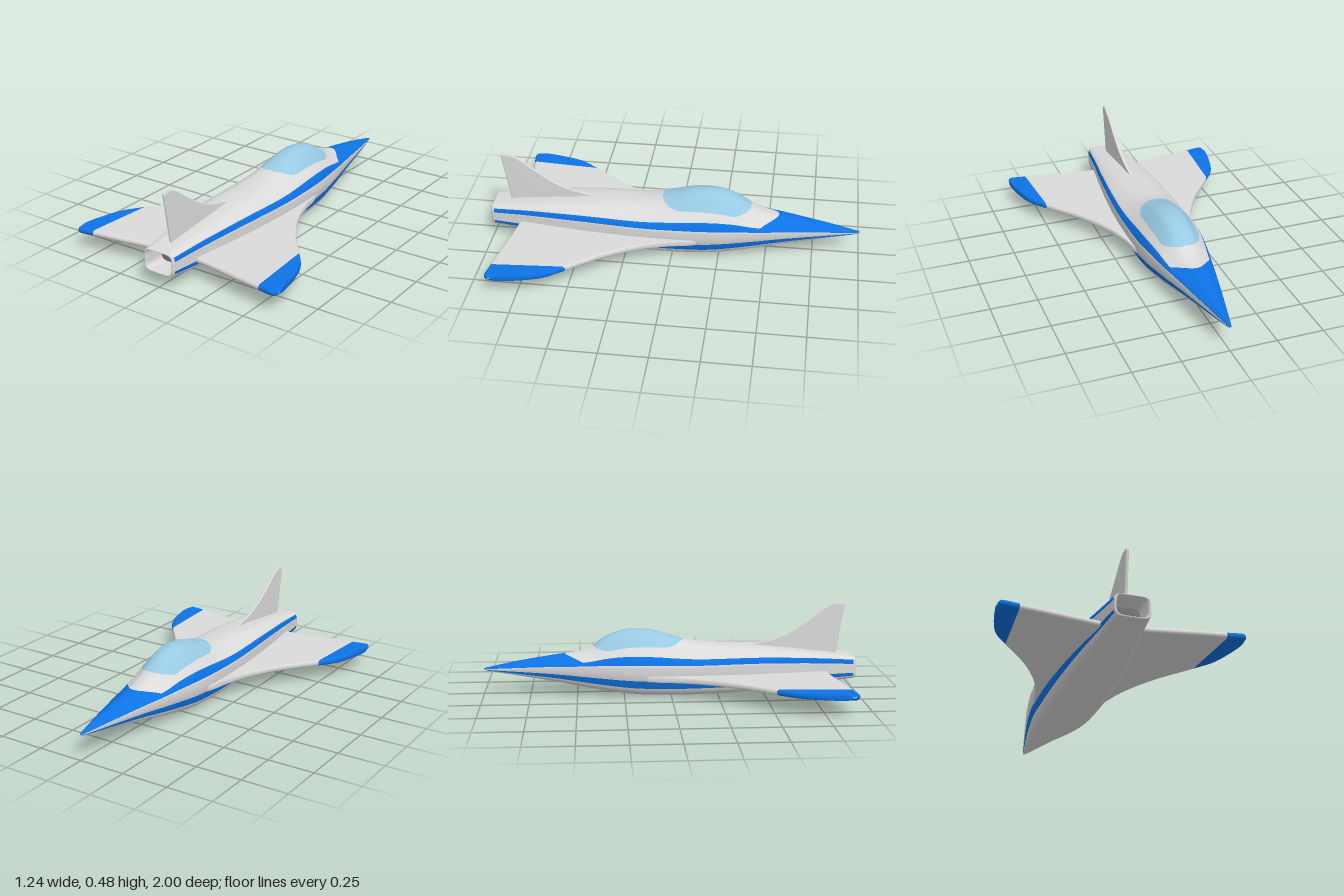
import * as THREE from 'three';

const mat = (name, color) => {
  const m = new THREE.MeshStandardMaterial({ color });
  m.name = name;
  return m;
};

// Smooth curve through [key, value] pairs (cubic Hermite)
function curve(pts) {
  const slope = (i) => {
    const a = pts[Math.max(i - 1, 0)], b = pts[Math.min(i + 1, pts.length - 1)];
    return (b[1] - a[1]) / (b[0] - a[0]);
  };
  return (k) => {
    k = THREE.MathUtils.clamp(k, pts[0][0], pts[pts.length - 1][0]);
    let i = 0;
    while (i < pts.length - 2 && k > pts[i + 1][0]) i++;
    const [k0, v0] = pts[i], [k1, v1] = pts[i + 1], h = k1 - k0, s = (k - k0) / h;
    const s2 = s * s, s3 = s2 * s;
    return (2 * s3 - 3 * s2 + 1) * v0 + (s3 - 2 * s2 + s) * h * slope(i)
      + (3 * s2 - 2 * s3) * v1 + (s3 - s2) * h * slope(i + 1);
  };
}

// Indexed grid of points; du x dv faces outward unless flipped
function gridGeometry(nu, nv, point, flip, normal) {
  const pos = [], nor = [], idx = [];
  for (let i = 0; i <= nu; i++) for (let j = 0; j <= nv; j++) {
    pos.push(...point(i, j));
    if (normal) nor.push(...normal(i, j));
  }
  for (let i = 0; i < nu; i++) for (let j = 0; j < nv; j++) {
    const a = i * (nv + 1) + j, b = a + nv + 1;
    if (flip) idx.push(a, a + 1, b, b, a + 1, b + 1);
    else idx.push(a, b, a + 1, b, b + 1, a + 1);
  }
  const g = new THREE.BufferGeometry();
  g.setAttribute('position', new THREE.Float32BufferAttribute(pos, 3));
  g.setIndex(idx);
  if (normal) g.setAttribute('normal', new THREE.Float32BufferAttribute(nor, 3));
  else g.computeVertexNormals();
  return g;
}

// Fuselage outlines along z
const top = curve([[-1, .137], [-.985, .143], [-.8, .18], [-.6, .21], [-.5, .224], [-.42, .255], [-.35, .3], [-.28, .33],
  [-.2, .344], [-.1, .335], [0, .305], [.1, .279], [.2, .265], [.45, .25], [.7, .225], [1, .19]]);
const bottom = curve([[-1, .131], [-.985, .126], [-.8, .1], [-.6, .07], [-.4, .034], [-.2, .007], [0, 0], [.2, .003],
  [.4, .012], [.6, .03], [.8, .05], [1, .07]]);
const halfWidth = curve([[-1, .003], [-.985, .009], [-.8, .052], [-.6, .096], [-.4, .138], [-.2, .17], [0, .177],
  [.2, .174], [.4, .161], [.6, .14], [.8, .113], [1, .09]]);
const waist = curve([[-1, .134], [-.5, .16], [0, .157], [.5, .152], [1, .13]]);

// Half cross-sections from top to bottom, mirrored into closed loops
const section = (half) => new THREE.CatmullRomCurve3([
  ...half, ...half.slice(1, -1).reverse().map(([x, y]) => [-x, y]),
].map(([x, y]) => new THREE.Vector3(x, y, 0)), true, 'catmullrom', 0.5);
const midSection = section([[0, 1], [.17, .975], [.34, .9], [.51, .74], [.68, .55], [.87, .34], [.985, .1], [1, -.05],
  [.99, -.25], [.955, -.43], [.88, -.7], [.78, -.88], [.6, -.98], [.3, -1], [0, -1]]);
const tailSection = section([[0, 1], [.3, 1], [.55, 1], [.72, .97], [.85, .9], [.95, .75], [1, .38], [1, 0],
  [1, -.2], [1, -.42], [.96, -.68], [.87, -.87], [.7, -.97], [.35, -1], [0, -1]]);

// Fuselage surface: t runs 0 (top) to 14 (bottom) on the left side, negative on the right
function hull(z, t, scale = 1) {
  const k = ((t + 28) % 28) / 28;
  const p = midSection.getPoint(k).lerp(tailSection.getPoint(k), THREE.MathUtils.smoothstep(z, -.3, 1.1) * .6
    + .4 * THREE.MathUtils.clamp((z + .1) / 1.1, 0, 1));
  const w = waist(z), h = p.y > 0 ? top(z) - w : w - bottom(z);
  return new THREE.Vector3(p.x * halfWidth(z) * scale, w + p.y * h * scale, z);
}
function hullNormal(z, t) {
  const e = .004, za = Math.max(z - e, -1), zb = Math.min(z + e, 1);
  const dz = hull(zb, t).sub(hull(za, t)), dt = hull(z, t + .03).sub(hull(z, t - .03));
  return dz.cross(dt).normalize();
}

// Patch of the hull between two angles and two z limits
function hullPatch(nz, nt, param, lift = 0) {
  const at = (i, j) => param(i / nz, j / nt);
  return gridGeometry(nz, nt,
    (i, j) => hull(...at(i, j)).addScaledVector(hullNormal(...at(i, j)), lift),
    false, (i, j) => hullNormal(...at(i, j)));
}

// Thin blade with rounded edges; stations are [span, lead z, span at trail, trail z, radius]
function blade(stations, from, to, map, flip) {
  const f = [0, 1, 2, 3, 4].map((c) => curve(stations.map((s, i) => [i, s[c]])));
  const rows = (to - from) * 5, ring = 20;
  return gridGeometry(rows, ring, (i, j) => {
    const [sL, zL, sT, zT, r] = f.map((fn) => fn(from + i / 5));
    const front = j % ring >= ring / 2;
    const step = (j % (ring / 2)) / (ring / 2 - 1);
    const a = -Math.PI / 2 + Math.PI * step + (front ? Math.PI : 0);
    const z = (front ? zL + r : zT - r) + r * Math.cos(a);
    return map(front ? sL : sT, r * Math.sin(a), z);
  }, flip);
}

export function createModel() {
  const white = mat('hull white', 0xdadada);
  const blue = mat('trim blue', 0x0d73e6);
  const glass = mat('canopy glass', 0x98cae3);
  const grey = mat('exhaust grey', 0x777777);
  const model = new THREE.Group();
  model.name = 'jet';
  const add = (name, geometry, material, parent = model) => {
    const m = new THREE.Mesh(geometry, material);
    m.name = name;
    parent.add(m);
    return m;
  };
  const lerp = THREE.MathUtils.lerp;

  // Fuselage, split along its colour lines
  const fuselage = new THREE.Group();
  fuselage.name = 'fuselage';
  model.add(fuselage);
  const END = .985;
  const edge = curve([[0, -.565], [1.5, -.555], [3, -.525], [5, -.47], [6, -.45]]);
  const noseEnd = (t) => edge(Math.abs(t));
  const strip = (a, b) => hullPatch(80, Math.ceil((b - a) * 4), (u, v) => [lerp(-1, END, u), lerp(a, b, v)]);
  const aft = (a, b) => hullPatch(80, Math.ceil((b - a) * 4), (u, v) => {
    const t = lerp(a, b, v);
    return [lerp(noseEnd(t), END, u), t];
  });
  add('nose', hullPatch(30, 48, (u, v) => {
    const t = lerp(-6, 6, v);
    return [lerp(-1, noseEnd(t), u), t];
  }), blue, fuselage);
  add('upperHull', aft(-5, 5), white, fuselage);
  add('lowerHull', strip(10, 18), white, fuselage);
  for (const [side, pick] of [['left', (a, b) => [a, b]], ['right', (a, b) => [-b, -a]]]) {
    add(side + 'UpperStripe', aft(...pick(5, 6)), blue, fuselage);
    add(side + 'Flank', strip(...pick(6, 9)), white, fuselage);
    add(side + 'LowerStripe', strip(...pick(9, 10)), blue, fuselage);
  }

  // Canopy glass laid over the hump
  const glassEdge = curve([[-.412, 1.2], [-.39, 2.7], [-.34, 3.9], [-.28, 4], [-.1, 3.8], [-.02, 3.5], [.03, 2.6], [.062, 1]]);
  add('canopy', hullPatch(48, 32, (u, v) => {
    const z = lerp(-.412, .062, u);
    return [z, glassEdge(z) * lerp(-1, 1, v)];
  }, .003), glass);

  // Exhaust: rounded lip, inner wall and back plate
  const lip = [[1, .985], [.98, .995], [.94, 1], [.88, .998], [.84, .988], [.82, .97], [.8, .88]];
  const lipPoint = (i, j) => {
    const p = hull(END, j / 2 - 14, lip[i][0]);
    return [p.x, p.y, lip[i][1]];
  };
  add('exhaustLip', gridGeometry(lip.length - 1, 56, lipPoint, false), white);
  const outline = [];
  for (let j = 56; j > 0; j--) outline.push(new THREE.Vector2(...lipPoint(lip.length - 1, j)));
  add('exhaustPlate', new THREE.ShapeGeometry(new THREE.Shape(outline)), grey).position.z = .885;

  // Wings with painted tips
  const R = .016;
  const wing = [[.06, -.3, .06, .835, R], [.165, -.15, .17, .848, R], [.2, 0, .2, .853, R], [.25, .15, .25, .86, R],
    [.35, .33, .36, .878, R], [.49, .51, .515, .9, R], [.56, .61, .56, .908, R], [.595, .72, .59, .911, R],
    [.613, .82, .606, .907, R], [.619, .87, .617, .89, .003]];
  for (const [side, s] of [['left', 1], ['right', -1]]) {
    const map = (span, thick, z) => [s * span, .105 + thick, z];
    add(side + 'Wing', blade(wing, 0, 5, map, s < 0), white);
    add(side + 'WingTip', blade(wing, 5, 9, map, s < 0), blue);
  }

  // Tail fin
  const r = .008;
  const fin = [[.19, .36, .19, .903, r], [.25, .45, .25, .912, r], [.275, .55, .275, .916, r], [.315, .65, .315, .922, r],
    [.38, .75, .38, .932, r], [.44, .83, .44, .942, r], [.47, .88, .465, .946, r], [.482, .915, .478, .938, .003]];
  add('tailFin', blade(fin, 0, 7, (span, thick, z) => [thick, span, z], true), white);

  return model;
}
